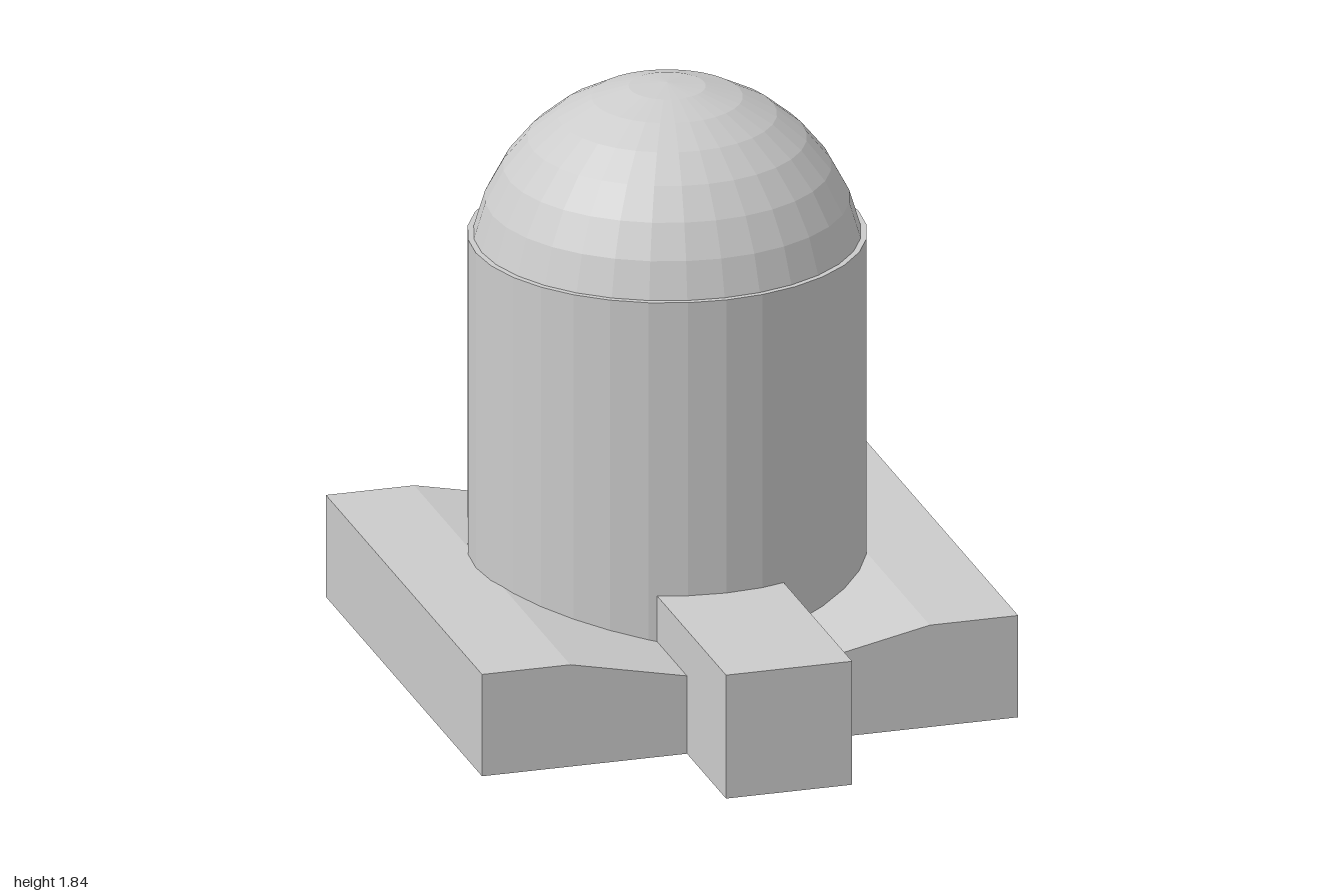
import * as THREE from 'three';

export function createModel() {
  const model = new THREE.Group();
  const grey = new THREE.MeshStandardMaterial({ color: 0xcccccc, flatShading: true });
  const greyOpen = grey.clone();
  greyOpen.side = THREE.DoubleSide;

  const add = (name, geometry, x, y, z, material = grey) => {
    const mesh = new THREE.Mesh(geometry, material);
    mesh.name = name;
    mesh.position.set(x, y, z);
    model.add(mesh);
  };

  // Base slab with a shallow V valley running front to back
  const profile = [[-0.85, 0], [0.85, 0], [0.85, 0.33], [0.57, 0.33], [0, 0.21], [-0.57, 0.33], [-0.85, 0.33]];
  const slab = new THREE.Shape(profile.map(([x, y]) => new THREE.Vector2(x, y)));
  add('base', new THREE.ExtrudeGeometry(slab, { depth: 1.6, bevelEnabled: false }), 0, 0, -1);

  // Round tower, sunk into the valley
  const cx = 0.008, cz = -0.275, bottom = 0.15, top = 1.35;
  add('tower', new THREE.CylinderGeometry(0.607, 0.607, top - bottom, 32), cx, (top + bottom) / 2, cz);

  // Dome, a sphere whose centre lies a little below the tower rim
  const dome = new THREE.SphereGeometry(0.6, 32, 8, 0, Math.PI * 2, 0, Math.PI / 2);
  add('dome', dome, cx, 1.235, cz);

  // Entrance block, open underneath
  const block = new THREE.BoxGeometry(0.4, 0.4, 0.8);
  const index = Array.from(block.index.array);
  index.splice(18, 6); // drop the bottom face
  block.setIndex(index);
  add('entrance', block, 0, 0.2, 0.6, greyOpen);

  return model;
}
